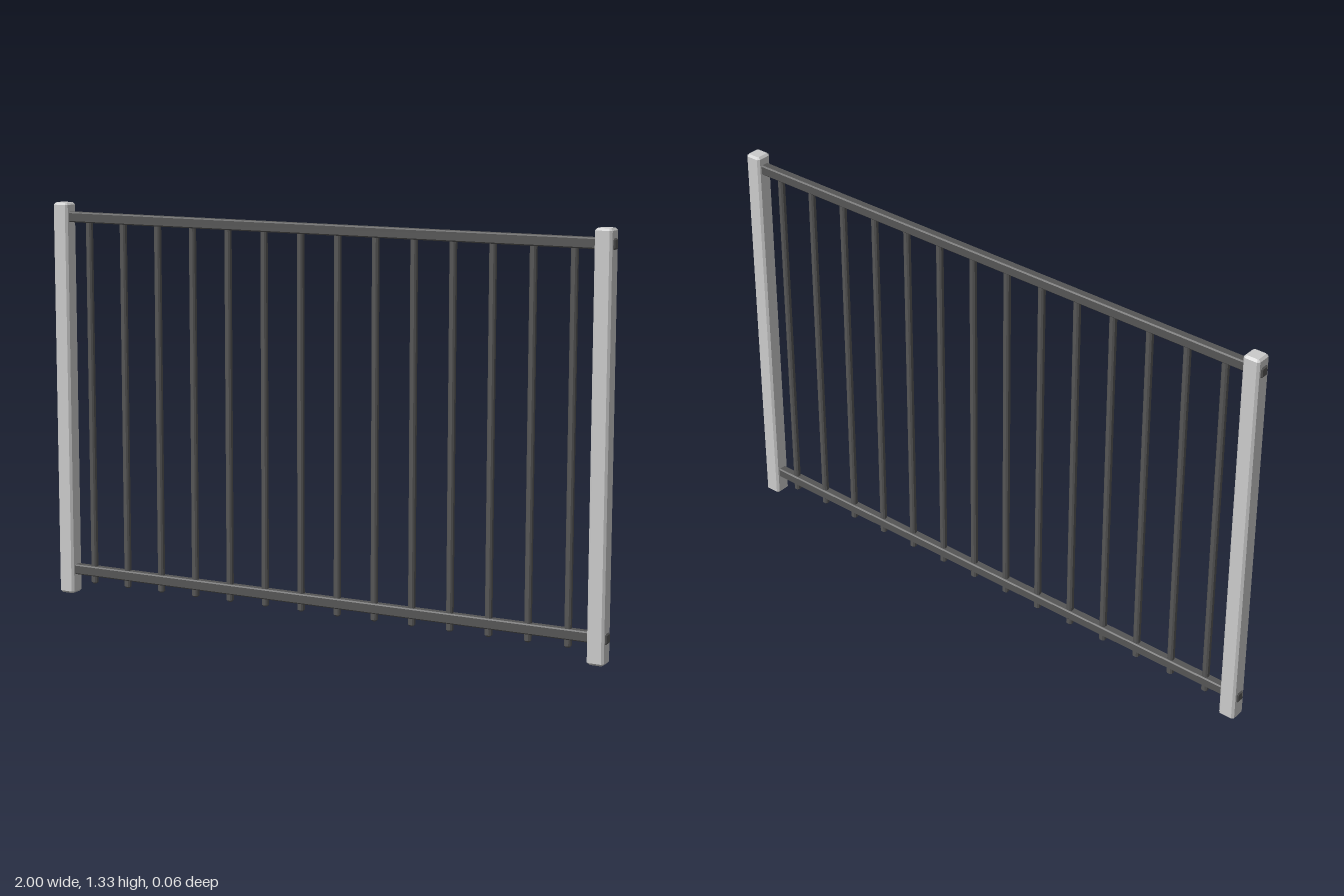
import * as THREE from 'three';

// Box standing on y = 0 with chamfered edges on every side
function chamferedBar(w, h, d, c) {
  const x = w / 2, y = d / 2;
  const shape = new THREE.Shape([
    [x - c, -y], [x, -y + c], [x, y - c], [x - c, y],
    [-x + c, y], [-x, y - c], [-x, -y + c], [-x + c, -y],
  ].map(([a, b]) => new THREE.Vector2(a, b)));
  const geo = new THREE.ExtrudeGeometry(shape, {
    depth: h - 2 * c, bevelEnabled: true, bevelSegments: 1,
    bevelThickness: c, bevelSize: c, bevelOffset: -c,
  });
  return geo.translate(0, 0, c).rotateX(-Math.PI / 2);
}

export function createModel() {
  const group = new THREE.Group();
  const postMat = new THREE.MeshStandardMaterial({ color: 0xcccccc, flatShading: true });
  const metalMat = new THREE.MeshStandardMaterial({ color: 0x555555, flatShading: true });

  const add = (name, geo, mat, x, y) => {
    const mesh = new THREE.Mesh(geo, mat);
    mesh.name = name;
    mesh.position.set(x, y, 0);
    group.add(mesh);
  };

  // End posts
  const postGeo = chamferedBar(0.056, 1.33, 0.056, 0.007);
  add('leftPost', postGeo, postMat, 0.967, 0);
  add('rightPost', postGeo, postMat, -0.967, 0);

  // Rails, running through the posts so their ends show outside
  const railGeo = chamferedBar(0.034, 2, 0.03, 0.004)
    .rotateZ(Math.PI / 2).translate(1, 0, 0);
  add('topRail', railGeo, metalMat, 0, 1.283);
  add('bottomRail', railGeo, metalMat, 0, 0.083);

  // Evenly spaced bars, poking out below the bottom rail
  const count = 14, spacing = 0.1335;
  const barGeo = chamferedBar(0.021, 1.245, 0.021, 0.005);
  for (let i = 0; i < count; i++) {
    add('bar' + (i + 1), barGeo, metalMat, (i - (count - 1) / 2) * spacing, 0.04);
  }
  return group;
}
